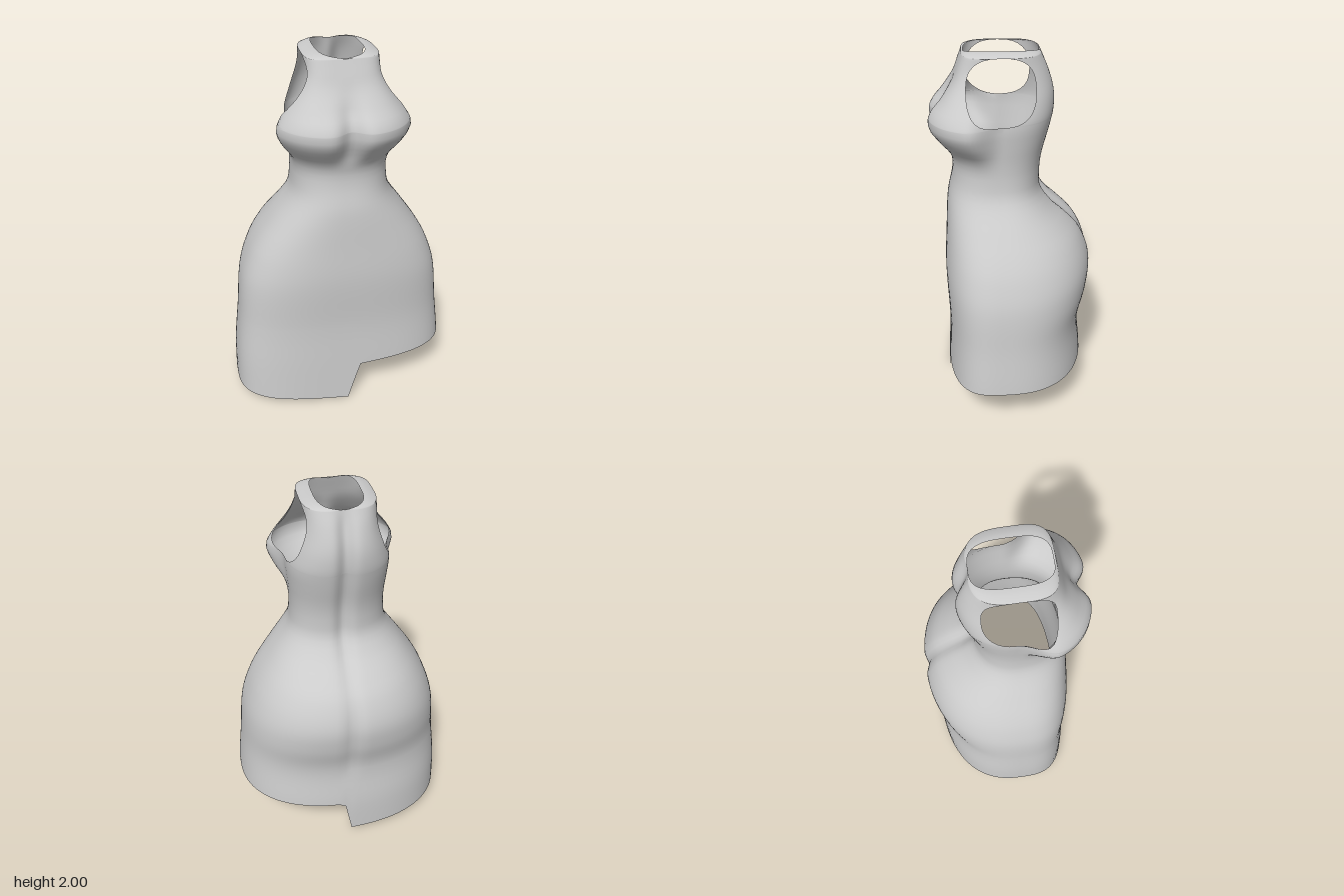
import * as THREE from 'three';
import { mergeVertices } from 'three/addons/utils/BufferGeometryUtils.js';

// Smooth curve through [height, value] keys (cubic Hermite)
function track(keys) {
  const slope = (i) => {
    const a = keys[Math.max(i - 1, 0)], b = keys[Math.min(i + 1, keys.length - 1)];
    return (b[1] - a[1]) / (b[0] - a[0]);
  };
  return (y) => {
    if (y <= keys[0][0]) return keys[0][1];
    const i = keys.findIndex((k) => k[0] >= y) - 1;
    if (i < 0) return keys[keys.length - 1][1];
    const [y0, v0] = keys[i], [y1, v1] = keys[i + 1];
    const h = y1 - y0, t = (y - y0) / h, u = 1 - t;
    return v0 * (1 + 2 * t) * u * u + slope(i) * h * t * u * u
      + v1 * t * t * (3 - 2 * t) - slope(i + 1) * h * t * t * u;
  };
}

// Body measurements by height
const MID = 0.06;
const halfWidth = track([[0, 0.612], [0.26, 0.603], [0.5, 0.577], [0.75, 0.55], [0.9, 0.5], [1, 0.445],
  [1.1, 0.375], [1.25, 0.272], [1.35, 0.253], [1.45, 0.253], [1.55, 0.262], [1.66, 0.268], [1.75, 0.245],
  [1.85, 0.21], [1.92, 0.193], [1.98, 0.188]]);
const frontZ = track([[0, 0.38], [0.25, 0.37], [0.5, 0.36], [0.8, 0.37], [1, 0.36], [1.2, 0.345], [1.35, 0.315],
  [1.45, 0.322], [1.55, 0.395], [1.6, 0.43], [1.65, 0.438], [1.7, 0.415], [1.75, 0.37], [1.85, 0.3], [1.92, 0.272],
  [1.98, 0.25]]);
const backZ = track([[0, -0.4], [0.25, -0.4], [0.45, -0.382], [0.55, -0.388], [0.7, -0.425], [0.85, -0.433],
  [1, -0.375], [1.1, -0.285], [1.15, -0.23], [1.25, -0.16], [1.35, -0.152], [1.45, -0.162], [1.6, -0.2],
  [1.7, -0.22], [1.8, -0.218], [1.9, -0.188], [1.98, -0.15]]);
const frontPower = track([[0, 3.2], [0.5, 3], [1, 2.6], [1.35, 2.4], [1.65, 2.5], [1.8, 3.4], [1.9, 4], [1.98, 4]]);
const backPower = track([[0, 2.4], [1.3, 2.3], [1.8, 2.5], [1.98, 3]]);
const bustFlare = track([[1.4, 0], [1.47, 0.07], [1.55, 0.27], [1.63, 0.36], [1.7, 0.27], [1.8, 0.1], [1.9, 0]]);
const frontCleft = track([[1.46, 0], [1.54, 0.04], [1.62, 0.062], [1.7, 0.05], [1.8, 0.015], [1.87, 0]]);
const backCleft = track([[0.4, 0], [0.6, 0.015], [0.85, 0.025], [1, 0.02], [1.2, 0.03], [1.7, 0.035],
  [1.9, 0.03], [1.98, 0.012]]);

// Unit superellipse point in direction a
function rounded(a, p) {
  const c = Math.cos(a), s = Math.sin(a);
  const r = Math.pow(Math.abs(c) ** p + Math.abs(s) ** p, -1 / p);
  return [c * r, s * r];
}

// Point on the body surface at angle a (0 = left side, PI/2 = front)
function bodyPoint(a, y) {
  const front = Math.sin(a) >= 0;
  const [c, s] = rounded(a, (front ? frontPower : backPower)(y));
  const depth = front ? frontZ(y) - MID : MID - backZ(y);
  let x = halfWidth(y) * c;
  if (front) x *= 1 + bustFlare(y) * THREE.MathUtils.smoothstep(s, 0, 0.5);
  let z = MID + depth * s;
  const groove = Math.abs(s) ** 2;
  if (front) z -= frontCleft(y) * groove * Math.exp(-((x / 0.06) ** 2));
  else z += backCleft(y) * groove * Math.exp(-((x / 0.04) ** 2));
  return new THREE.Vector3(x, y, z);
}

// Neck opening: a rounded oblong, slightly lower at front and back
function neckPoint(a) {
  const [c, s] = rounded(a, 3.2);
  return new THREE.Vector3(0.12 * c, 1.978 + 0.02 * Math.abs(c), MID + (s > 0 ? 0.18 : 0.2) * s);
}

// Uneven hem: short on the left side, long on the right, stepped at the middle
function hemHeight(a) {
  const x = bodyPoint(a, 0.1).x, front = Math.sin(a) >= 0;
  const side = Math.abs(Math.cos(a));
  if (x < 0.0005) return (front ? 0 : 0.03) + (front ? 0.062 : 0.034) * side;
  const step = Math.min(x / (front ? 0.07 : 0.04), 1);
  return THREE.MathUtils.lerp(front ? 0 : 0.03, (front ? 0.222 : 0.24) + (front ? 0.044 : 0.026) * side, step);
}

// Armhole in side outline: centre height, half height, half depth
const HOLE = { y: 1.82, h: 0.16, d: 0.172 };
function holeAngle(y, front) {
  const t = Math.abs(y - HOLE.y) / HOLE.h;
  if (t >= 0.9999) return 0;
  const half = HOLE.d * Math.pow(1 - t ** 2.6, 1 / 2.6);
  const p = (front ? frontPower : backPower)(y);
  const q = Math.min(half / (front ? frontZ(y) - MID : MID - backZ(y)), 0.97);
  return Math.atan2(q, Math.pow(1 - q ** p, 1 / p));
}

// Rows from hem to neck, each a function of angle
const HEM_TOP = 0.5;
const rows = [];
for (let i = 0; i < 8; i++) {
  rows.push({ y: 0, at: (a) => bodyPoint(a, THREE.MathUtils.lerp(hemHeight(a), HEM_TOP, i / 8)) });
}
const addRow = (y) => rows.push({ y, at: (a) => bodyPoint(a, y) });
const holeBottom = HOLE.y - HOLE.h;
for (let i = 0; i < 36; i++) addRow(HEM_TOP + (holeBottom - HEM_TOP) * i / 36);
for (let i = 0; i <= 18; i++) addRow(HOLE.y - HOLE.h * Math.cos(Math.PI * i / 18));
for (let i = 1; i <= 4; i++) {
  const t = i / 4;
  rows.push({
    y: 2,
    at: (a) => {
      const p = bodyPoint(a, HOLE.y + HOLE.h), n = neckPoint(a);
      const rise = Math.sin(t * Math.PI / 2);
      return new THREE.Vector3(p.x + (n.x - p.x) * t, p.y + (n.y - p.y) * rise, p.z + (n.z - p.z) * t);
    },
  });
}

// Front and back panels, joined at the sides except around the armholes
function dressGeometry() {
  const COLS = 52, positions = [], index = [];
  for (const front of [true, false]) {
    const base = positions.length / 3, start = front ? 0 : Math.PI;
    rows.forEach((row, i) => {
      const edge = holeAngle(row.y, front);
      for (let j = 0; j <= COLS; j++) {
        const a = start + edge + (Math.PI - 2 * edge) * j / COLS;
        positions.push(...row.at(a).toArray());
        if (i < rows.length - 1 && j < COLS) {
          const k = base + i * (COLS + 1) + j, up = k + COLS + 1;
          index.push(k, up, k + 1, k + 1, up, up + 1);
        }
      }
    });
  }
  const geometry = new THREE.BufferGeometry();
  geometry.setAttribute('position', new THREE.Float32BufferAttribute(positions, 3));
  geometry.setIndex(index);
  const merged = mergeVertices(geometry, 1e-4);
  merged.computeVertexNormals();
  return merged;
}

export function createModel() {
  const model = new THREE.Group();
  model.name = 'sleevelessDress';
  const material = new THREE.MeshStandardMaterial({ color: 0xcccccc, side: THREE.DoubleSide });
  const dress = new THREE.Mesh(dressGeometry(), material);
  dress.name = 'dressShell';
  model.add(dress);
  return model;
}
